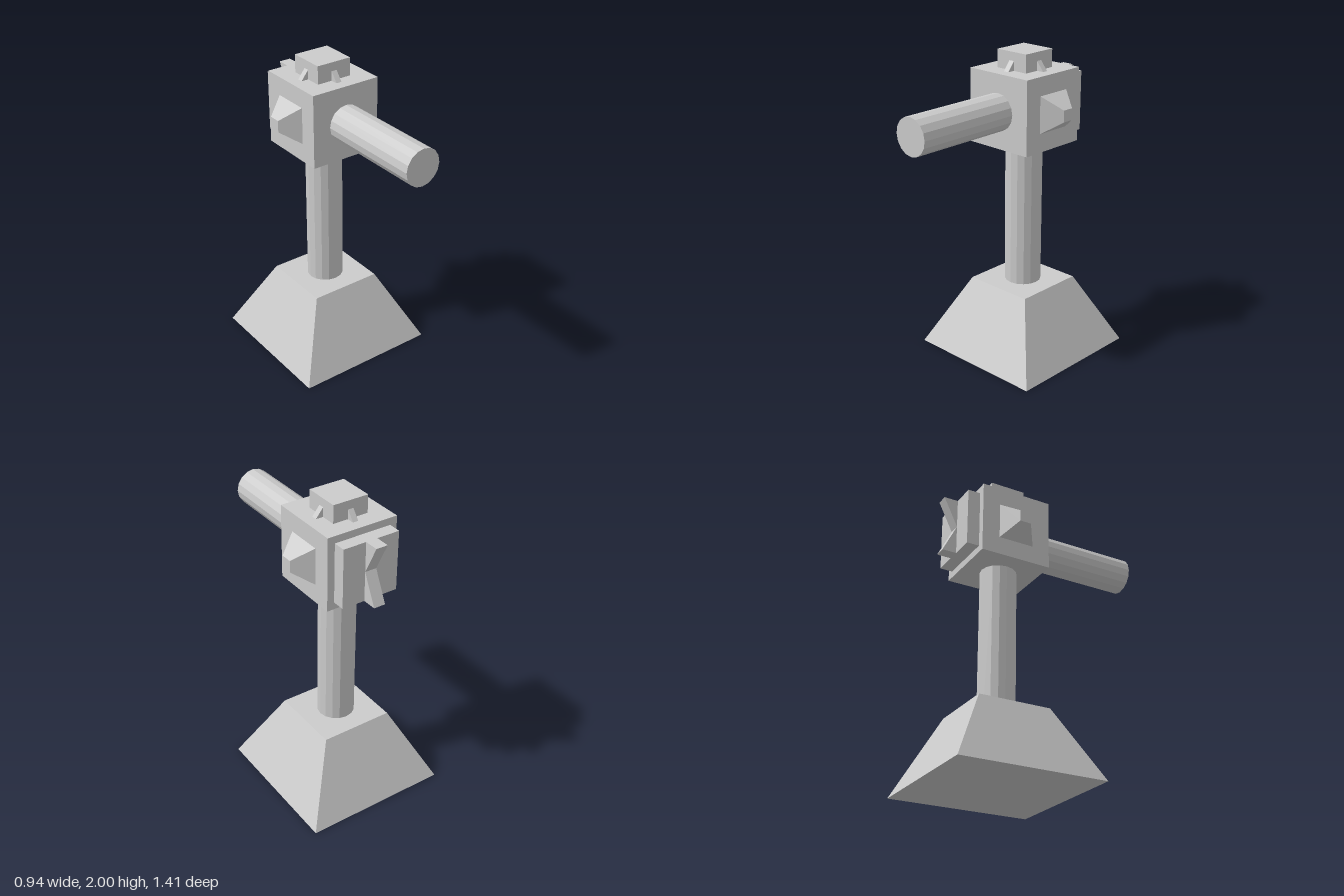
import * as THREE from 'three';

const material = new THREE.MeshStandardMaterial({ color: 0xcccccc, flatShading: true });
const AXIS_Z = -0.235; // the upright axis of the post
const HEAD_Y = 1.65;

function part(parent, name, geometry, x = 0, y = 0, z = 0) {
  const mesh = new THREE.Mesh(geometry, material);
  mesh.name = name;
  mesh.position.set(x, y, z);
  parent.add(mesh);
  return mesh;
}

// Square frustum standing on y = 0, sides parallel to x and z
function frustum(bottomHalf, topHalf, height) {
  return new THREE.CylinderGeometry(topHalf * Math.SQRT2, bottomHalf * Math.SQRT2, height, 4)
    .rotateY(Math.PI / 4)
    .translate(0, height / 2, 0);
}

// Profile in x/y, extruded and centred along z
function prism(points, width) {
  const shape = new THREE.Shape(points.map(([x, y]) => new THREE.Vector2(x, y)));
  return new THREE.ExtrudeGeometry(shape, { depth: width, bevelEnabled: false })
    .translate(0, 0, -width / 2);
}

export function createModel() {
  const model = new THREE.Group();
  model.name = 'model';

  // Base and post
  part(model, 'base', frustum(0.47, 0.235, 0.47), 0, 0, AXIS_Z);
  part(model, 'post', new THREE.CylinderGeometry(0.1175, 0.1175, 0.945, 16), 0, 0.9425, AXIS_Z);

  // Head block with the forward barrel
  part(model, 'head', new THREE.BoxGeometry(0.47, 0.47, 0.47), 0, HEAD_Y, AXIS_Z);
  const barrel = new THREE.CylinderGeometry(0.1175, 0.1175, 0.705, 16).rotateX(Math.PI / 2);
  part(model, 'barrel', barrel, 0, HEAD_Y, 0.3525);

  // Tapered studs on both sides
  for (const side of [1, -1]) {
    const stud = part(model, side > 0 ? 'leftStud' : 'rightStud',
      frustum(0.1175, 0.037, 0.118), side * 0.235, HEAD_Y, AXIS_Z);
    stud.rotation.z = -side * Math.PI / 2;
  }

  // Cap with a small sloping fin on each face
  const cap = new THREE.Group();
  cap.name = 'cap';
  cap.position.set(0, 1.885, AXIS_Z);
  model.add(cap);
  part(cap, 'capBlock', new THREE.BoxGeometry(0.235, 0.115, 0.235), 0, 0.0575, 0);
  const fin = prism([[0.1175, 0], [0.165, 0], [0.1175, 0.06]], 0.036);
  for (let i = 0; i < 4; i++) {
    part(cap, 'capFin', fin).rotation.y = i * Math.PI / 2;
  }

  // Back plate with a pair of wedges forming a notched tail
  part(model, 'backPlate', new THREE.BoxGeometry(0.376, 0.38, 0.082), 0, HEAD_Y, -0.511);
  const tail = prism([[0.55, -0.19], [0.645, -0.19], [0.552, 0], [0.645, 0.19], [0.55, 0.19]], 0.076);
  part(model, 'tail', tail, 0, HEAD_Y, 0).rotation.y = Math.PI / 2;

  return model;
}
